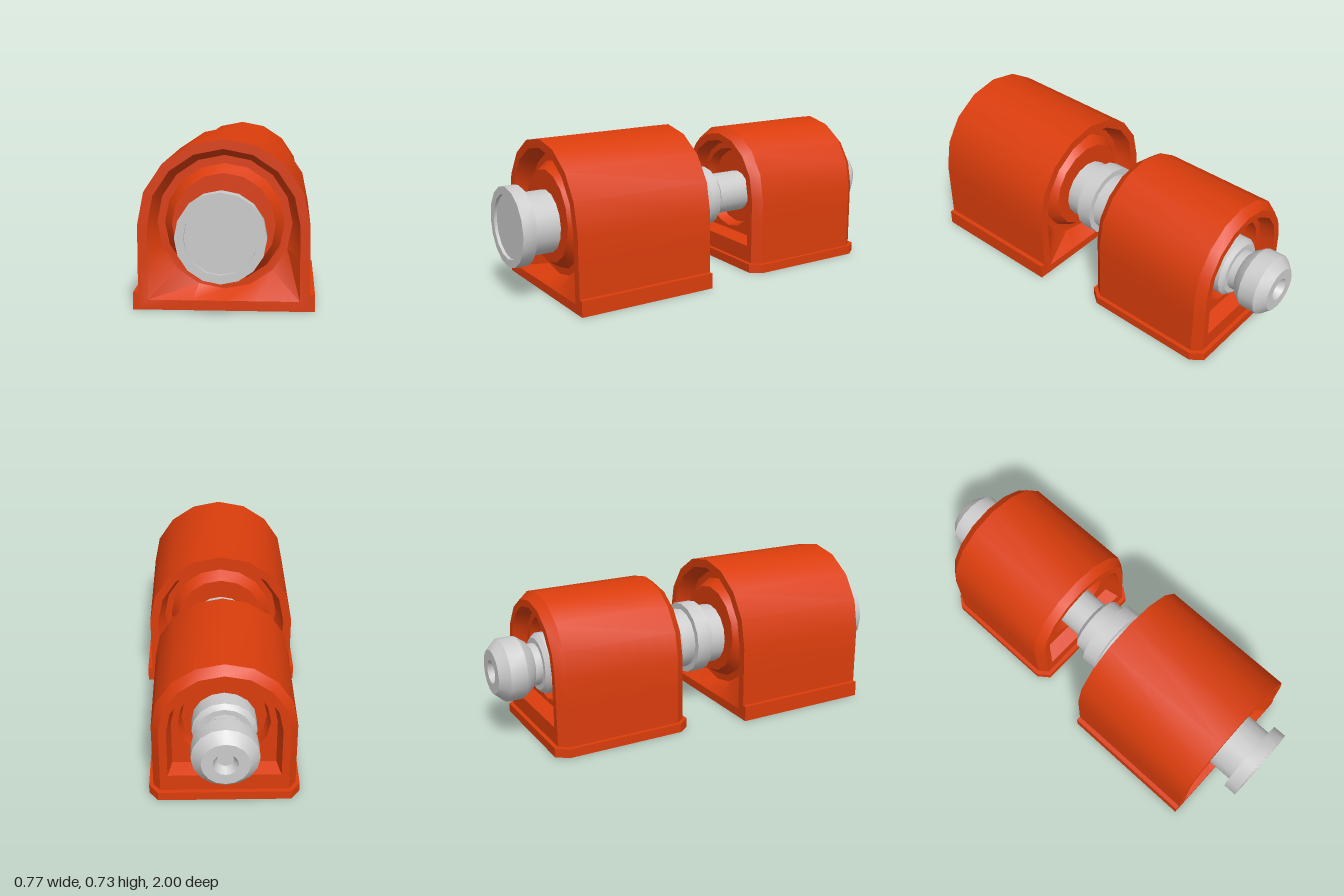
import * as THREE from 'three';
import { toCreasedNormals } from 'three/addons/utils/BufferGeometryUtils.js';

const SIDES = 16;
const CENTRE_Y = 0.367;
const SHAFT_Y = 0.345;
const CREASE = THREE.MathUtils.degToRad(32);

// Round cross-section
const circle = (r, z) => Array.from({ length: SIDES }, (_, i) => {
  const a = (i / SIDES) * Math.PI * 2;
  return [r * Math.cos(a), CENTRE_Y + r * Math.sin(a), z];
});

// Arched cross-section: half circle on a rectangle that reaches down to `bottom`
const arch = (r, bottom, z) => circle(r, z).map(([x, y], i) => {
  if (i <= SIDES / 2) return [x, y, z];
  const a = (i / SIDES) * Math.PI * 2;
  const k = 1 / Math.max(Math.abs(Math.cos(a)), Math.abs(Math.sin(a)));
  return [r * k * Math.cos(a), CENTRE_Y + k * Math.sin(a) * (CENTRE_Y - bottom), z];
});

// Skin a row of cross-sections
function loft(rings) {
  const index = [];
  for (let i = 0; i < rings.length - 1; i++) {
    for (let j = 0; j < SIDES; j++) {
      const k = (j + 1) % SIDES;
      const a = i * SIDES + j, b = i * SIDES + k;
      const c = a + SIDES, d = b + SIDES;
      index.push(a, c, b, b, c, d);
    }
  }
  const geo = new THREE.BufferGeometry();
  geo.setAttribute('position', new THREE.Float32BufferAttribute(rings.flat(2), 3));
  geo.setIndex(index);
  return toCreasedNormals(geo, CREASE);
}

// Rings for one end mirrored to the other; end(z, s) lists rings from the bore outwards
const bothEnds = (end, front, back) => [...end(front, -1), ...end(back, 1).reverse()];

export function createModel() {
  const model = new THREE.Group();
  const orange = new THREE.MeshStandardMaterial({ color: 0xdb3d0c });
  const grey = new THREE.MeshStandardMaterial({ color: 0xcccccc });
  const add = (name, geo, mat, parent = model) => {
    const mesh = new THREE.Mesh(geo, mat);
    mesh.name = name;
    parent.add(mesh);
    return mesh;
  };

  // Front housing: recessed ends with a raised conical collar
  const frontHousing = new THREE.Group();
  frontHousing.name = 'frontHousing';
  model.add(frontHousing);
  add('frontHousingBody', loft(bothEnds((z, s) => [
    circle(0.12, z + s * 0.025),
    circle(0.22, z + s * 0.025),
    circle(0.256, z + s * 0.08),
    circle(0.29, z + s * 0.08),
    arch(0.323, 0.043, z),
    arch(0.365, 0, z),
  ], 0.827, 0.14)), orange, frontHousing);

  // Foot strips along both sides
  for (const side of [-1, 1]) {
    const foot = new THREE.BoxGeometry(0.027, 0.075, 0.687);
    add('frontHousingFoot', foot, orange, frontHousing)
      .position.set(side * 0.3735, 0.0375, 0.4835);
  }

  // Rear housing: bevelled rims, arched openings and a round seat inside
  const rearHousing = new THREE.Group();
  rearHousing.name = 'rearHousing';
  model.add(rearHousing);
  add('rearHousingBody', loft(bothEnds((z, s) => [
    circle(0.08, z + s * 0.12),
    circle(0.19, z + s * 0.12),
    circle(0.205, z + s * 0.07),
    arch(0.235, 0.145, z + s * 0.07),
    arch(0.255, 0.125, z),
    arch(0.29, 0.04, z),
    arch(0.323, 0.04, z + s * 0.042),
  ], -0.16, -0.805)), orange, rearHousing);

  // Base plate with cut corners
  const w = 0.342, l = 0.342, cx = 0.042, cz = 0.055;
  const plate = new THREE.Shape([
    [w, l - cz], [w - cx, l], [cx - w, l], [-w, l - cz],
    [-w, cz - l], [cx - w, -l], [w - cx, -l], [w, cz - l],
  ].map(([x, y]) => new THREE.Vector2(x, y)));
  const plateGeo = new THREE.ExtrudeGeometry(plate, { depth: 0.043, bevelEnabled: false });
  plateGeo.rotateX(-Math.PI / 2);
  add('rearBasePlate', plateGeo, orange, rearHousing).position.z = -0.483;

  // Turned parts lying along z, profile given as [radius, z] from back to front
  const turned = (name, profile) => {
    const points = profile.map(([r, z]) => new THREE.Vector2(r, z));
    const geo = new THREE.LatheGeometry(points, SIDES).rotateX(Math.PI / 2);
    add(name, toCreasedNormals(geo, CREASE), grey).position.y = SHAFT_Y;
  };

  // Rear knob with dimple, neck and inner shoulder
  turned('rearKnob', [
    [0, -0.965], [0.035, -0.965], [0.055, -1], [0.105, -1], [0.148, -0.955],
    [0.148, -0.875], [0.115, -0.83], [0.1, -0.82], [0.1, -0.785],
    [0.125, -0.785], [0.145, -0.765], [0.145, -0.66], [0, -0.66],
  ]);

  // Main shaft with thin link, middle ring and recessed front cap
  turned('mainShaft', [
    [0, -0.4], [0.103, -0.4], [0.103, -0.095], [0.125, -0.095], [0.148, -0.075],
    [0.148, -0.005], [0.178, -0.005], [0.178, 0.075], [0.148, 0.075],
    [0.148, 0.935], [0.188, 0.935], [0.188, 1], [0.151, 1], [0.151, 0.985], [0, 0.985],
  ]);

  return model;
}
